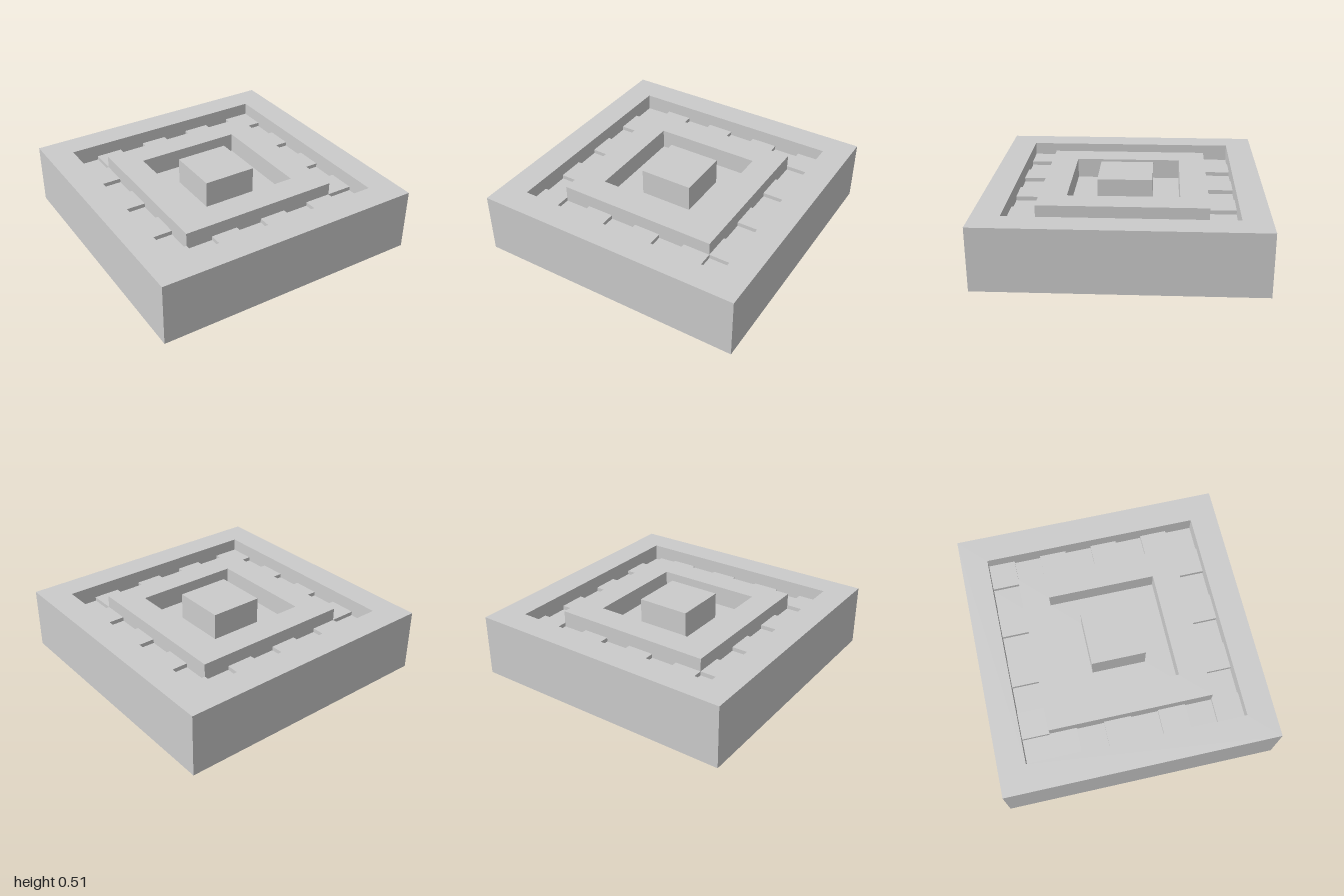
import * as THREE from 'three';

const FLOOR = 0.31;
const RIM = 0.46;

export function createModel() {
  const group = new THREE.Group();
  const material = new THREE.MeshStandardMaterial({ color: 0xcccccc, flatShading: true });

  const add = (name, geometry, x = 0, y = 0, z = 0) => {
    const mesh = new THREE.Mesh(geometry, material);
    mesh.name = name;
    mesh.position.set(x, y, z);
    group.add(mesh);
  };

  // Box standing on height y
  const block = (name, width, y0, y1, x = 0, z = 0) =>
    add(name, new THREE.BoxGeometry(width, y1 - y0, width), x, (y0 + y1) / 2, z);

  const square = (path, h) =>
    path.moveTo(-h, -h).lineTo(h, -h).lineTo(h, h).lineTo(-h, h).closePath();

  // Square frame with a square opening, resting on the floor slab
  const frame = (name, outer, inner) => {
    const shape = square(new THREE.Shape(), outer);
    shape.holes.push(square(new THREE.Path(), inner));
    const geometry = new THREE.ExtrudeGeometry(shape, { depth: RIM - FLOOR, bevelEnabled: false });
    geometry.rotateX(-Math.PI / 2);
    add(name, geometry, 0, FLOOR, 0);
  };

  block('baseSlab', 2, 0, FLOOR);
  frame('outerWall', 1, 0.8);
  frame('innerWall', 0.6, 0.4);
  block('centerPedestal', 0.4, FLOOR, 0.51);

  // Path tiles around the trench, alternating high and low
  for (let i = 0; i < 8; i++) {
    for (let j = 0; j < 8; j++) {
      if (i % 7 !== 0 && j % 7 !== 0) continue;
      const high = (i + j) % 2 === 1;
      block(high ? 'raisedTile' : 'lowTile', 0.2, FLOOR, high ? 0.365 : 0.335,
        -0.7 + i * 0.2, -0.7 + j * 0.2);
    }
  }
  return group;
}
